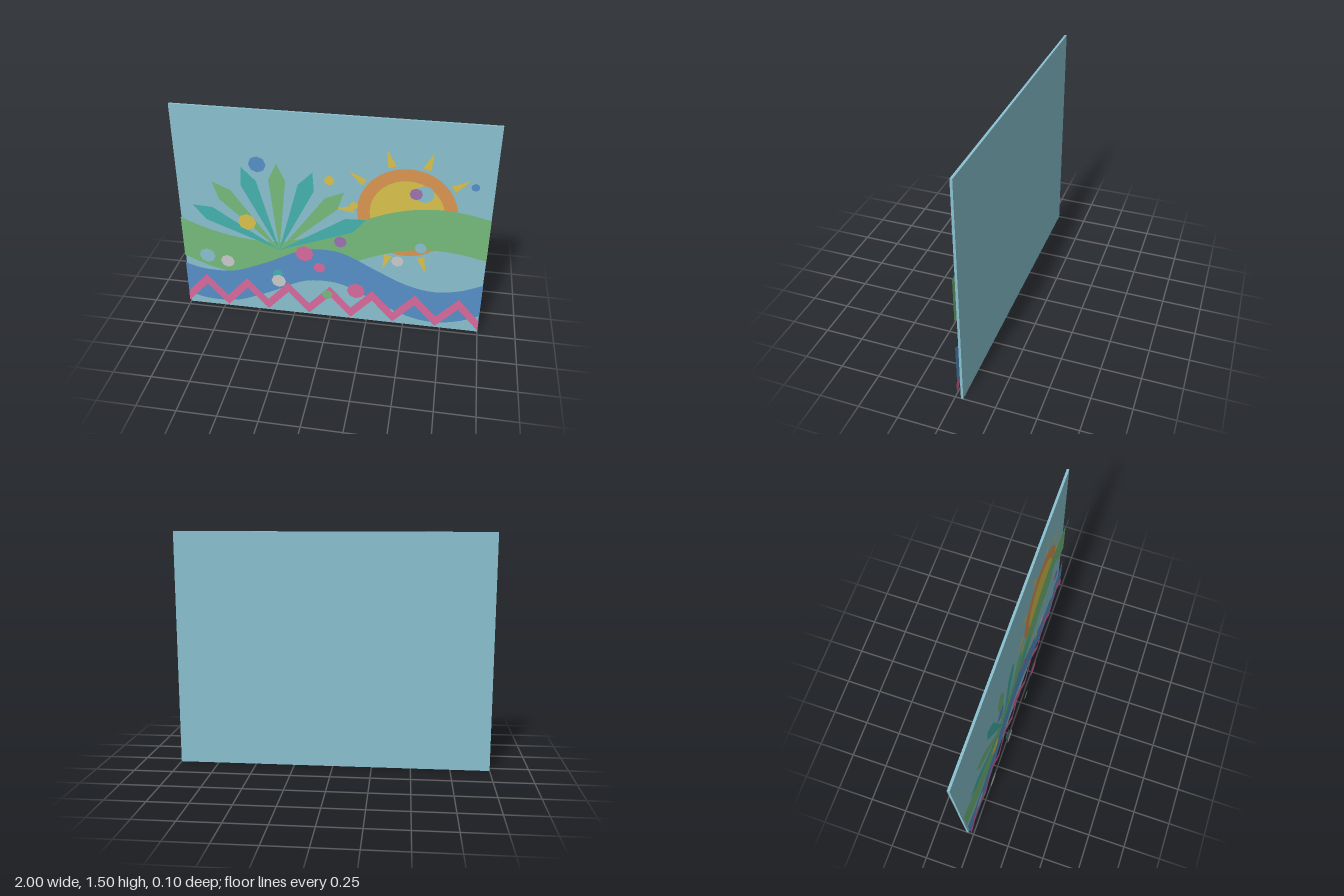
import * as THREE from 'three';

const COLORS = {
  sky: 0x8ac2d1, blue: 0x5790c8, pink: 0xda6a9f, green: 0x76bb7b, teal: 0x44b3ae,
  yellow: 0xdac44c, orange: 0xdd9650, purple: 0x9f73b3, white: 0xcccccc,
};
const materials = {};
for (const key in COLORS) {
  materials[key] = new THREE.MeshStandardMaterial({ color: COLORS[key], side: THREE.DoubleSide });
}

export function createModel() {
  const model = new THREE.Group();

  const add = (parent, name, geometry, color, x, y, z) => {
    const mesh = new THREE.Mesh(geometry, materials[color]);
    mesh.name = name;
    mesh.position.set(x, y, z);
    parent.add(mesh);
    return mesh;
  };
  const group = (name) => {
    const g = new THREE.Group();
    g.name = name;
    model.add(g);
    return g;
  };
  const flat = (points) => new THREE.ShapeGeometry(
    new THREE.Shape(points.map(([x, y]) => new THREE.Vector2(x, y))));

  // Band of constant height hanging below a line of points
  const band = (top, height) => flat([
    ...top, ...top.map(([x, y]) => [x, y - height]).reverse()]);
  const smooth = (points) => new THREE.SplineCurve(
    points.map(([x, y]) => new THREE.Vector2(x, y))).getPoints(48).map((p) => [p.x, p.y]);

  // Backing panel
  add(model, 'backPanel', new THREE.BoxGeometry(2, 1.5, 0.015), 'sky', 0, 0.75, -0.0425);

  // Sun: rim, face and ten pointed rays
  const sun = group('sun');
  sun.position.set(0.483, 0.872, 0);
  add(sun, 'sunRim', new THREE.CircleGeometry(0.313, 40), 'orange', 0, 0, -0.03);
  add(sun, 'sunFace', new THREE.CircleGeometry(0.233, 40), 'yellow', 0, 0, -0.026);
  const ray = flat([[0.335, -0.026], [0.455, 0], [0.335, 0.026]]);
  for (let i = 0; i < 10; i++) {
    add(sun, 'sunRay', ray, 'yellow', 0, 0, -0.03).rotation.z = (i * Math.PI) / 5;
  }

  // Rolling hill and river
  const hill = smooth([[-1, 0.705], [-0.85, 0.645], [-0.7, 0.605], [-0.55, 0.582], [-0.4, 0.577],
    [-0.25, 0.6], [0, 0.705], [0.235, 0.815], [0.4, 0.88], [0.55, 0.915], [0.7, 0.926],
    [0.85, 0.912], [1, 0.88]]);
  add(model, 'hill', band(hill, 0.3), 'green', 0, 0, -0.02);
  const river = smooth([[-1, 0.345], [-0.9, 0.316], [-0.8, 0.307], [-0.7, 0.311], [-0.6, 0.335],
    [-0.4, 0.425], [-0.2, 0.53], [-0.05, 0.556], [0.1, 0.535], [0.3, 0.435], [0.5, 0.342],
    [0.68, 0.305], [0.85, 0.33], [1, 0.395]]);
  add(model, 'river', band(river, 0.25), 'blue', 0, 0, -0.016);

  // Zigzag border
  const zigzag = [];
  for (let i = 0; i <= 14; i++) zigzag.push([-1 + i / 7, i % 2 ? 0.265 : 0.107]);
  add(model, 'zigzagBorder', band(zigzag, 0.08), 'pink', 0, 0, -0.012);

  // Fan of seven leaves
  const fan = group('leafFan');
  const leaf = flat([[0, 0], [0.054, 0.515], [0, 0.635], [-0.054, 0.515]]);
  for (let i = -3; i <= 3; i++) {
    const mesh = add(fan, 'leaf', leaf, i % 2 ? 'teal' : 'green', -0.335, 0.53, -0.006 + i * 0.0005);
    mesh.rotation.z = THREE.MathUtils.degToRad(-21 * i);
  }

  // Scattered octagonal dots: x, y, z, radius, colour
  const dots = group('dots');
  [
    [-0.445, 1.17, 0.035, 0.055, 'blue'], [0.88, 1.12, 0.015, 0.026, 'blue'],
    [-0.535, 0.738, 0.02, 0.06, 'yellow'], [0, 1.087, 0.015, 0.033, 'yellow'],
    [0.16, 0.946, 0.048, 0.026, 'yellow'], [0.535, 1.062, 0.05, 0.04, 'purple'],
    [0.07, 0.638, 0, 0.042, 'purple'], [0.585, 1.052, 0.027, 0.06, 'sky'],
    [0.585, 0.664, 0.026, 0.038, 'sky'], [-0.828, 0.44, 0.01, 0.055, 'sky'],
    [-0.678, 0.435, 0.045, 0.047, 'white'], [-0.337, 0.31, 0.04, 0.05, 'white'],
    [0.442, 0.531, 0, 0.04, 'white'], [-0.345, 0.355, 0.025, 0.035, 'teal'],
    [-0.163, 0.535, 0.02, 0.06, 'pink'], [-0.065, 0.433, 0.017, 0.04, 'pink'],
    [0.182, 0.287, 0.034, 0.06, 'pink'], [-0.008, 0.24, 0.044, 0.036, 'green'],
  ].forEach(([x, y, z, r, color]) => add(dots, 'dot', new THREE.CircleGeometry(r, 8), color, x, y, z));

  return model;
}
